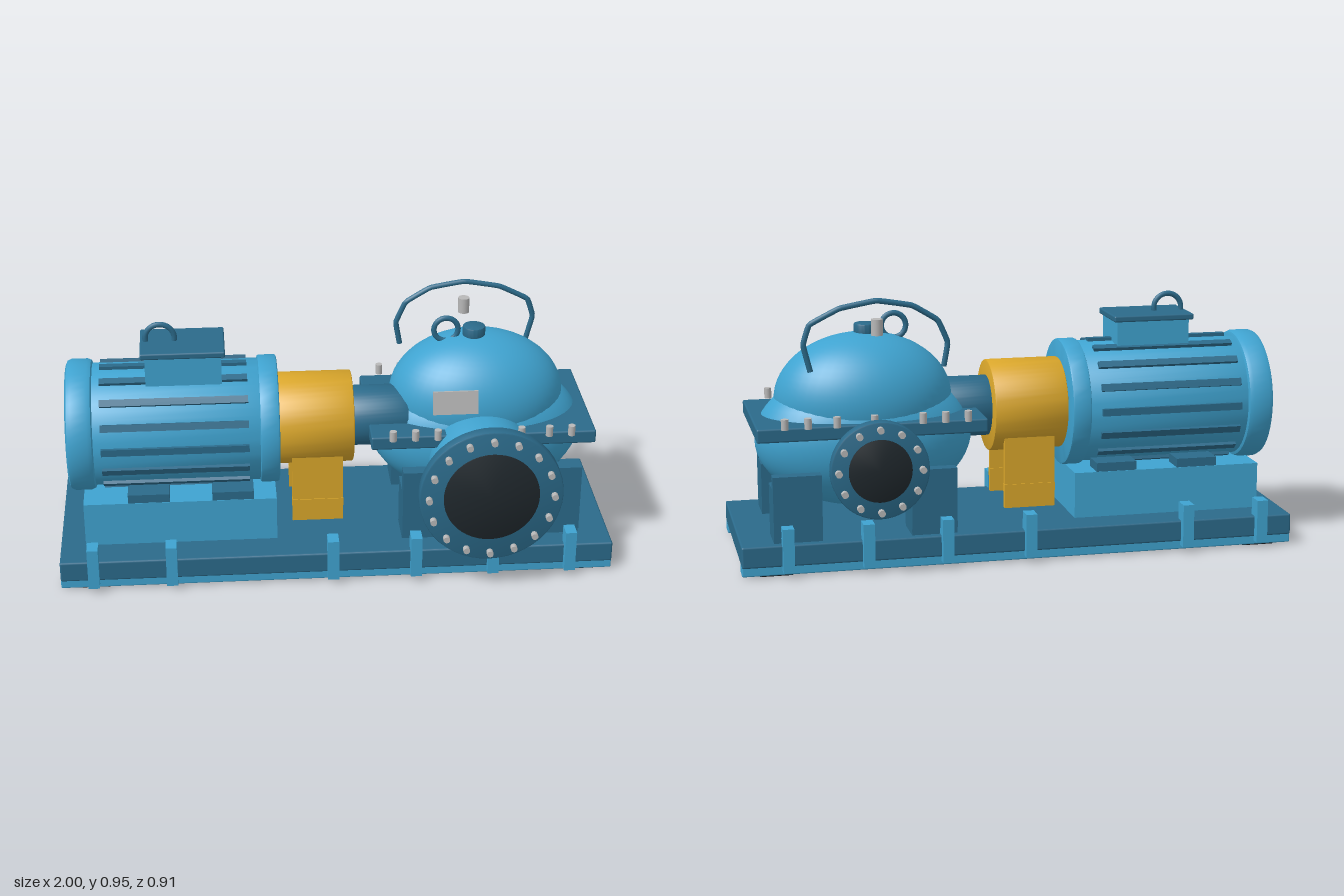
import * as THREE from 'three';
import { toCreasedNormals } from 'three/addons/utils/BufferGeometryUtils.js';
import { RoundedBoxGeometry } from 'three/addons/geometries/RoundedBoxGeometry.js';

const mat = (name, color) => {
  const m = new THREE.MeshStandardMaterial({ color });
  m.name = name;
  return m;
};

export function createModel() {
  const model = new THREE.Group();
  const blue = mat('light blue', 0x3fa3d0);
  const dark = mat('dark blue', 0x2b6a8a);
  const yellow = mat('guard yellow', 0xd9a62b);
  const steel = mat('steel grey', 0xb8b8b8);
  const black = mat('black', 0x20282d);

  const add = (name, geometry, material, x = 0, y = 0, z = 0) => {
    const mesh = new THREE.Mesh(geometry, material);
    mesh.name = name;
    mesh.position.set(x, y, z);
    model.add(mesh);
    return mesh;
  };
  // Box given by its limits on each axis, optionally with rounded edges
  const box = (name, material, [x0, x1], [y0, y1], [z0, z1], r = 0) => {
    const size = [x1 - x0, y1 - y0, z1 - z0];
    const geo = r ? new RoundedBoxGeometry(...size, 2, r) : new THREE.BoxGeometry(...size);
    return add(name, geo, material, (x0 + x1) / 2, (y0 + y1) / 2, (z0 + z1) / 2);
  };
  // Solid drum with bevelled rims between a and b along an axis
  const drum = (name, material, axis, r, a, b, center, bevel = 0.006) => {
    const pts = [[0, a], [r - bevel, a], [r - bevel * 0.3, a + bevel * 0.3], [r, a + bevel],
      [r, b - bevel], [r - bevel * 0.3, b - bevel * 0.3], [r - bevel, b], [0, b]];
    let geo = new THREE.LatheGeometry(pts.map(p => new THREE.Vector2(...p)), 48);
    if (axis === 'x') geo.rotateZ(-Math.PI / 2);
    if (axis === 'z') geo.rotateX(Math.PI / 2);
    geo = toCreasedNormals(geo, 0.6);
    return add(name, geo, material, ...center);
  };
  const ring = (name, x, y, z, r) =>
    add(name, new THREE.TorusGeometry(r, 0.01, 10, 32), dark, x, y, z);

  // Base frame with side rails, pads and clamps
  box('basePlate', dark, [-1, 1], [0.036, 0.113], [-0.322, 0.322], 0.007);
  for (const s of [-1, 1]) {
    const span = (a, b) => (s > 0 ? [a, b] : [-b, -a]);
    box('baseRail', blue, [-1, 1], [0.005, 0.045], span(0.253, 0.316), 0.005);
    for (const x of [-0.88, 0.88])
      box('rubberPad', black, [x - 0.06, x + 0.06], [0, 0.02], span(0.19, 0.31), 0.006);
    for (const x of [-0.88, -0.6, -0.02, 0.28, 0.56, 0.84])
      box('baseClamp', blue, [x - 0.02, x + 0.02], [0.02, 0.177], span(0.29, 0.35));
  }

  // Motor
  const shaftY = 0.505;
  box('motorPedestal', blue, [-0.91, -0.215], [0.11, 0.28], [-0.2, 0.2]);
  drum('motorBody', blue, 'x', 0.222, -0.88, -0.25, [0, shaftY, 0]);
  drum('motorFanCover', blue, 'x', 0.238, -0.957, -0.86, [0, shaftY, 0], 0.02);
  drum('motorEndBell', blue, 'x', 0.232, -0.27, -0.2, [0, shaftY, 0], 0.008);
  for (let i = 0; i < 16; i++) {
    const a = (i / 16) * Math.PI * 2;
    const fin = add('coolingFin', new THREE.BoxGeometry(0.525, 0.03, 0.026), dark,
      -0.572, shaftY + Math.cos(a) * 0.218, Math.sin(a) * 0.218);
    fin.rotation.x = a;
  }
  for (const x of [-0.675, -0.372])
    for (const z of [-0.15, 0.15])
      box('motorFoot', dark, [x - 0.075, x + 0.075], [0.278, 0.312], [z - 0.048, z + 0.048]);
  box('terminalBox', blue, [-0.67, -0.4], [0.7, 0.81], [-0.09, 0.105]);
  box('terminalBoxLid', dark, [-0.686, -0.386], [0.807, 0.83], [-0.1, 0.115], 0.006);
  ring('motorLiftingEye', -0.615, 0.84, 0, 0.052);

  // Coupling guard and shaft housing
  drum('couplingGuard', yellow, 'x', 0.167, -0.2, 0.07, [0, shaftY, 0]);
  for (const z of [-0.125, 0.125]) {
    box('guardLeg', yellow, [-0.155, 0.03], [0.147, 0.415], [z - 0.01, z + 0.01]);
    box('guardLegStrip', yellow, [-0.156, 0.031], [0.205, 0.235], [z - 0.013, z + 0.013]);
  }
  drum('shaftHousing', dark, 'x', 0.11, 0.06, 0.27, [0, shaftY, 0]);

  // Pump casing halves and the split flange
  const pumpX = 0.53;
  const ellipsoid = (name, y, z, rx, ry, rz) =>
    add(name, new THREE.SphereGeometry(1, 48, 32).scale(rx, ry, rz), blue, pumpX, y, z);
  ellipsoid('lowerCasing', 0.43, -0.048, 0.39, 0.253, 0.248);
  ellipsoid('upperCasing', 0.567, -0.047, 0.318, 0.235, 0.232);
  box('splitFlange', dark, [0.125, 0.935], [0.47, 0.52], [-0.294, 0.214], 0.007);
  const stud = new THREE.CylinderGeometry(0.013, 0.013, 0.038, 12);
  for (const z of [-0.31, 0.235])
    for (const x of [0.2, 0.28, 0.36, 0.53, 0.66, 0.76, 0.84])
      add('splitFlangeBolt', stud, steel, x, 0.537, z);

  // Pump supports
  for (const [a, b] of [[0.238, 0.4], [0.715, 0.885]]) {
    box('pumpFoot', dark, [a, b], [0.11, 0.3], [0.105, 0.235]);
    box('pumpFoot', dark, [a, b], [0.11, 0.3], [-0.295, -0.163]);
    box('pumpFootPlate', dark, [a, b], [0.135, 0.39], [0.2, 0.248]);
    box('pumpFootPlate', dark, [a, b], [0.135, 0.35], [-0.301, -0.255]);
  }

  // Nozzles: s is the side, +1 front and -1 back
  const nozzle = (name, s, pipeR, flangeR, portR, boltR, count) => {
    const c = [pumpX, 0.386, 0];
    const along = (a, b) => (s > 0 ? [a, b] : [-b, -a]);
    drum(name + 'Pipe', blue, 'z', pipeR, ...along(0.05, 0.4), c);
    drum(name + 'Flange', dark, 'z', flangeR, ...along(0.384, 0.431), c);
    drum(name + 'Opening', black, 'z', portR, ...along(0.428, 0.434), c, 0.001);
    const bolt = new THREE.CylinderGeometry(0.012, 0.012, 0.026, 10).rotateX(Math.PI / 2);
    for (let i = 0; i < count; i++) {
      const a = (i / count) * Math.PI * 2;
      add(name + 'Bolt', bolt, steel,
        pumpX + Math.cos(a) * boltR, c[1] + Math.sin(a) * boltR, s * 0.44);
    }
  };
  nozzle('suction', 1, 0.191, 0.255, 0.17, 0.222, 16);
  nozzle('discharge', -1, 0.127, 0.171, 0.11, 0.145, 12);

  // Fittings on top of the casing
  drum('ventBoss', dark, 'y', 0.041, 0.78, 0.833, [0.517, 0, -0.04]);
  ring('casingLiftingEye', 0.415, 0.82, -0.04, 0.044);
  add('ventPlug', new THREE.CylinderGeometry(0.021, 0.021, 0.057, 16), steel, 0.5, 0.843, -0.2);
  const path = [[0.265, 0.695], [0.25, 0.78], [0.285, 0.86], [0.375, 0.915], [0.5, 0.936],
    [0.63, 0.913], [0.735, 0.86], [0.758, 0.79], [0.735, 0.695]];
  const curve = new THREE.CatmullRomCurve3(
    path.map(([x, y]) => new THREE.Vector3(x, y, -0.2)), false, 'catmullrom', 0.1);
  add('liftingBail', new THREE.TubeGeometry(curve, 64, 0.01, 8), dark);
  const plate = add('ratingPlate', new THREE.BoxGeometry(0.16, 0.085, 0.009), steel, 0.42, 0.662, 0.235);
  plate.rotation.x = -0.16;

  return model;
}
